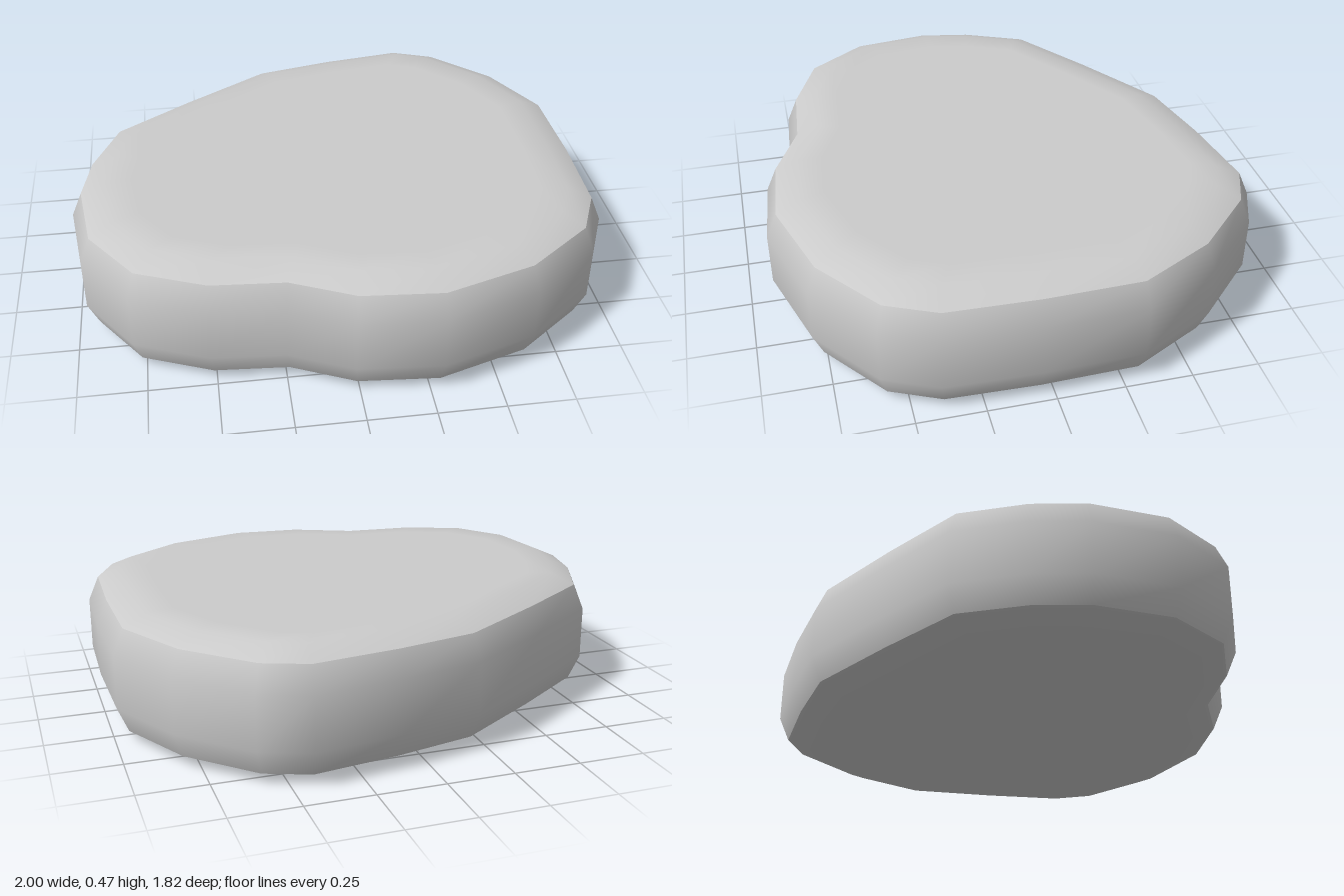
import * as THREE from 'three';

// Outline of the stone at its widest, as [x, z], clockwise from above
const OUTLINE = [
  [0.43, -0.91], [0.61, -0.84], [0.84, -0.61], [0.99, -0.32], [1.0, 0.05],
  [0.99, 0.4], [0.9, 0.6], [0.64, 0.8], [0.29, 0.91], [-0.02, 0.885],
  [-0.25, 0.78], [-0.52, 0.76], [-0.79, 0.65], [-0.96, 0.41], [-1.0, 0.1],
  [-0.96, -0.11], [-0.85, -0.36], [-0.55, -0.57], [-0.21, -0.79], [0.1, -0.86],
];
const N = OUTLINE.length;

// Mitred inward direction at every outline corner
const INWARD = OUTLINE.map((p, i) => {
  const normal = (a, b) => new THREE.Vector2(a[1] - b[1], b[0] - a[0]).normalize();
  const n1 = normal(OUTLINE[(i + N - 1) % N], p);
  const n2 = normal(p, OUTLINE[(i + 1) % N]);
  const k = 1 + n1.dot(n2);
  return n1.add(n2).divideScalar(k);
});

// One closed ring: outline moved inward, then scaled towards the middle
function ring(y, inset, scale = 1) {
  return OUTLINE.map(([x, z], i) => [
    (x + INWARD[i].x * inset) * scale, y, (z + INWARD[i].y * inset) * scale,
  ]);
}

// Smooth skin through rings listed from bottom to top
function skin(name, rings, material) {
  const index = [];
  for (let r = 0; r < rings.length - 1; r++) {
    for (let i = 0; i < N; i++) {
      const j = (i + 1) % N;
      const a = r * N + i, b = r * N + j, c = a + N, d = b + N;
      index.push(b, a, c, b, c, d);
    }
  }
  const geometry = new THREE.BufferGeometry();
  geometry.setAttribute('position', new THREE.Float32BufferAttribute(rings.flat(2), 3));
  geometry.setIndex(index);
  geometry.computeVertexNormals();
  const mesh = new THREE.Mesh(geometry, material);
  mesh.name = name;
  return mesh;
}

export function createModel() {
  const group = new THREE.Group();
  group.name = 'flatStone';
  const material = new THREE.MeshStandardMaterial({ color: 0xcccccc });

  // Separate skins keep the two rim edges sharp
  group.add(
    skin('underside', [ring(0, 0.13, 0), ring(0, 0.13, 0.88), ring(0, 0.13), ring(0.04, 0.04)], material),
    skin('side', [ring(0.04, 0.04), ring(0.135, 0), ring(0.335, 0), ring(0.43, 0.04)], material),
    skin('top', [ring(0.43, 0.04), ring(0.47, 0.13), ring(0.47, 0.13, 0.88), ring(0.47, 0.13, 0)], material),
  );
  return group;
}
